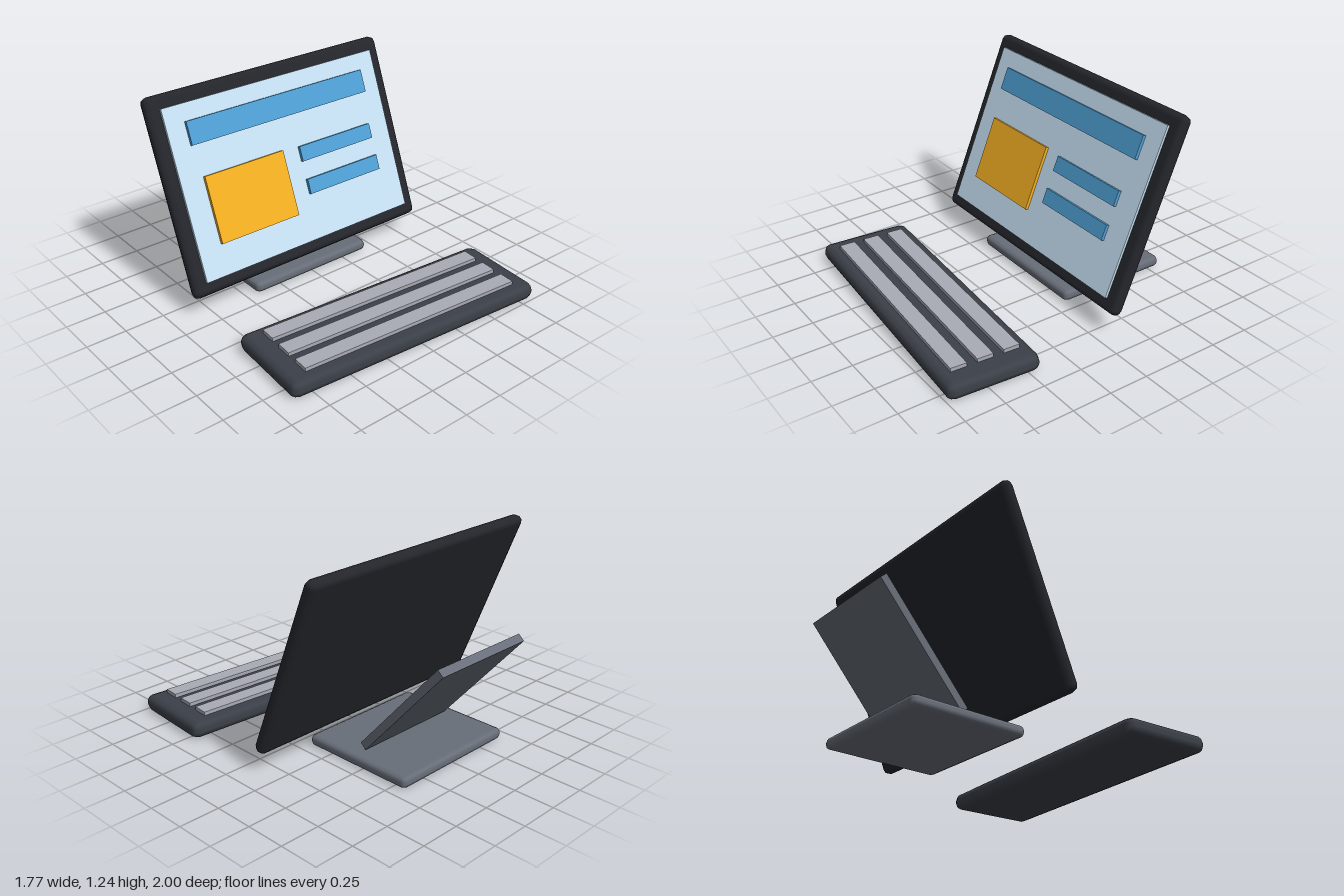
import * as THREE from 'three';
import { RoundedBoxGeometry } from 'three/addons/geometries/RoundedBoxGeometry.js';

const paint = (color) => new THREE.MeshStandardMaterial({ color });

const dark = paint(0x24262c);
const slate = paint(0x3b4048);
const steel = paint(0x686e79);
const keyGrey = paint(0xa9acb5);
const pale = paint(0xc8e2f4);
const blue = paint(0x4f9fd4);
const amber = paint(0xf5b022);

function add(parent, name, geometry, material, x, y, z) {
  const mesh = new THREE.Mesh(geometry, material);
  mesh.name = name;
  mesh.position.set(x, y, z);
  parent.add(mesh);
  return mesh;
}

const box = (w, h, d) => new THREE.BoxGeometry(w, h, d);
const softBox = (w, h, d, r) => new RoundedBoxGeometry(w, h, d, 1, r);

function createMonitor() {
  const monitor = new THREE.Group();
  monitor.name = 'monitor';
  monitor.position.set(0, 0.682, -0.336);
  monitor.rotation.x = -0.385;

  add(monitor, 'monitorCase', softBox(1.735, 1.21, 0.08, 0.038), dark, 0, 0, 0);
  add(monitor, 'screen', box(1.565, 1.045, 0.03), pale, 0, 0, 0.041);

  // Raised blocks on the screen: name, material, x, y, width, height
  const blocks = [
    ['headerBar', blue, 0, 0.345, 1.315, 0.144],
    ['picturePanel', amber, -0.348, -0.126, 0.565, 0.412],
    ['upperTextBar', blue, 0.341, 0.022, 0.565, 0.095],
    ['lowerTextBar', blue, 0.341, -0.188, 0.565, 0.095],
  ];
  for (const [name, material, x, y, w, h] of blocks) {
    add(monitor, name, box(w, h, 0.024), material, x, y, 0.065);
  }
  return monitor;
}

function createStand() {
  const stand = new THREE.Group();
  stand.name = 'stand';
  add(stand, 'standBase', softBox(0.865, 0.07, 0.75, 0.03), steel, 0, 0.035, -0.455);
  // Leaning support plate
  const arm = add(stand, 'standArm', box(0.695, 0.835, 0.05), steel, 0, 0.408, -0.711);
  arm.rotation.x = -0.719;
  return stand;
}

function createKeyboard() {
  const keyboard = new THREE.Group();
  keyboard.name = 'keyboard';
  keyboard.position.set(0, 0, 0.65);
  keyboard.rotation.y = -0.073;

  add(keyboard, 'keyboardBody', softBox(1.737, 0.106, 0.572, 0.045), slate, 0, 0.053, 0);
  for (let row = -1; row <= 1; row++) {
    add(keyboard, 'keyRow', box(1.495, 0.05, 0.1), keyGrey, 0, 0.104, row * 0.163);
  }
  return keyboard;
}

export function createModel() {
  const model = new THREE.Group();
  model.name = 'desktopComputer';
  model.add(createMonitor(), createStand(), createKeyboard());
  return model;
}
